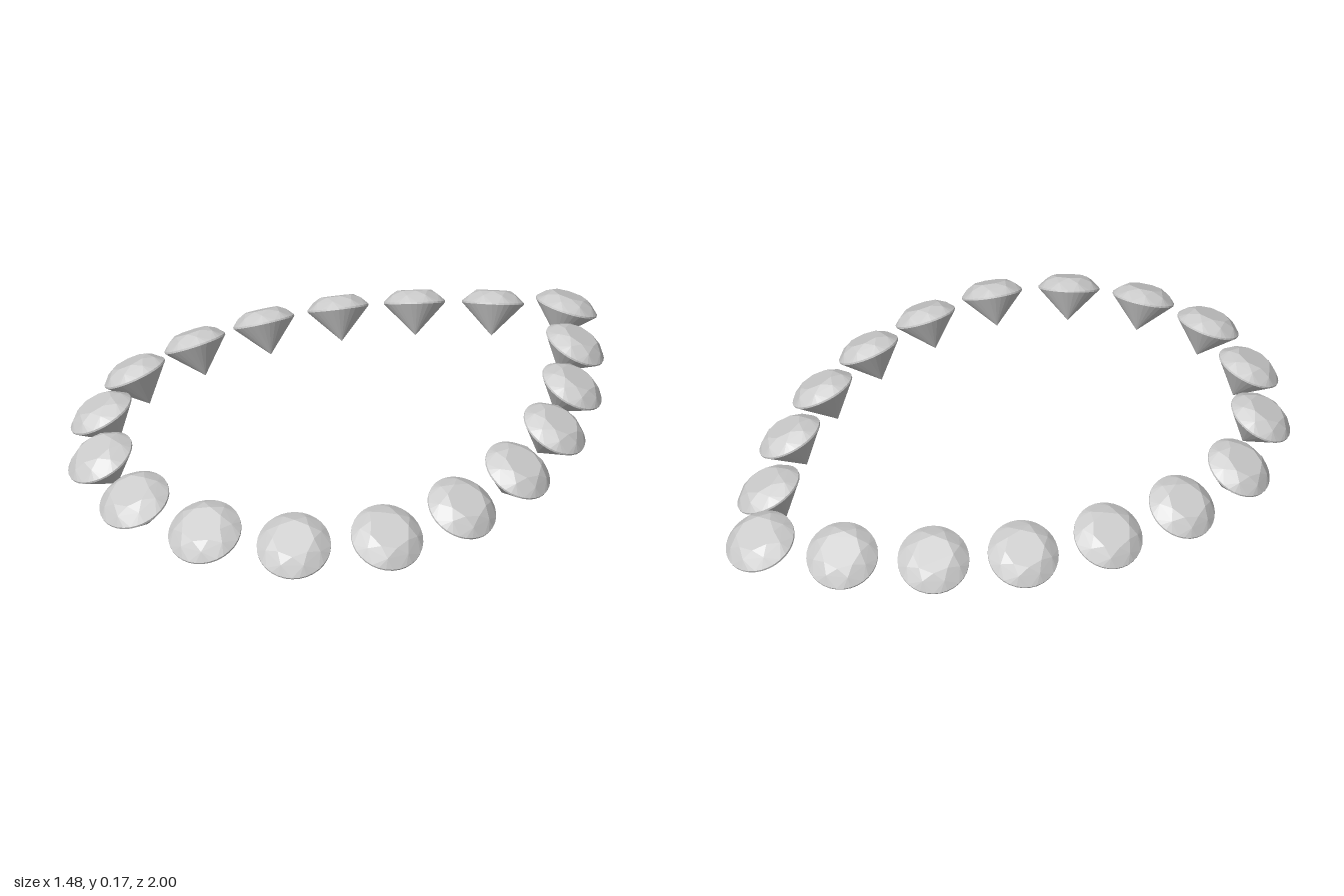
import * as THREE from 'three';
import { ConvexGeometry } from 'three/addons/geometries/ConvexGeometry.js';

// Brilliant-cut stone, girdle centre at the origin, point facing down
function gemGeometry() {
  const points = [new THREE.Vector3(0, -0.113, 0)];
  const ring = (count, radius, y, offset = 0) => {
    for (let i = 0; i < count; i++) {
      const a = ((i + offset) / count) * Math.PI * 2;
      points.push(new THREE.Vector3(radius * Math.sin(a), y, radius * Math.cos(a)));
    }
  };
  ring(8, 0.06, 0.041);         // table
  ring(8, 0.085, 0.0265, 0.5);  // crown kites
  ring(32, 0.107, 0.003);       // girdle, upper edge
  ring(32, 0.107, -0.003);      // girdle, lower edge
  return new ConvexGeometry(points);
}

export function createModel() {
  const model = new THREE.Group();
  model.name = 'gemLoop';
  const geometry = gemGeometry();
  const material = new THREE.MeshStandardMaterial({ color: 0xcccccc, flatShading: true });

  // Stone centres (x, z) down the left half, from back to front
  const half = [
    [0, -0.9], [0.195, -0.742], [0.375, -0.543], [0.517, -0.32], [0.609, -0.07],
    [0.645, 0.193], [0.615, 0.458], [0.475, 0.687], [0.26, 0.84], [0, 0.9],
  ];
  // Mirror the inner stones to close the egg-shaped loop
  const loop = [...half, ...half.slice(1, -1).reverse().map(([x, z]) => [-x, z])];

  loop.forEach(([x, z], i) => {
    const n = loop.length;
    const before = loop[(i + n - 1) % n];
    const after = loop[(i + 1) % n];
    // Outward normal of the loop at this stone
    const normal = new THREE.Vector2(after[1] - before[1], before[0] - after[0]).normalize();
    const side = Math.abs(normal.x);
    const tilt = THREE.MathUtils.degToRad(22 + 6 * side);

    const gem = new THREE.Mesh(geometry, material);
    gem.name = `gem${i + 1}`;
    gem.rotation.order = 'YXZ';
    gem.rotation.set(tilt, Math.atan2(normal.x, normal.y), 0);
    gem.scale.x = 1.02 - 0.045 * side;
    gem.position.set(x, 0.016 - 0.008 * side + 0.113 * Math.cos(tilt), z);
    model.add(gem);
  });
  return model;
}
